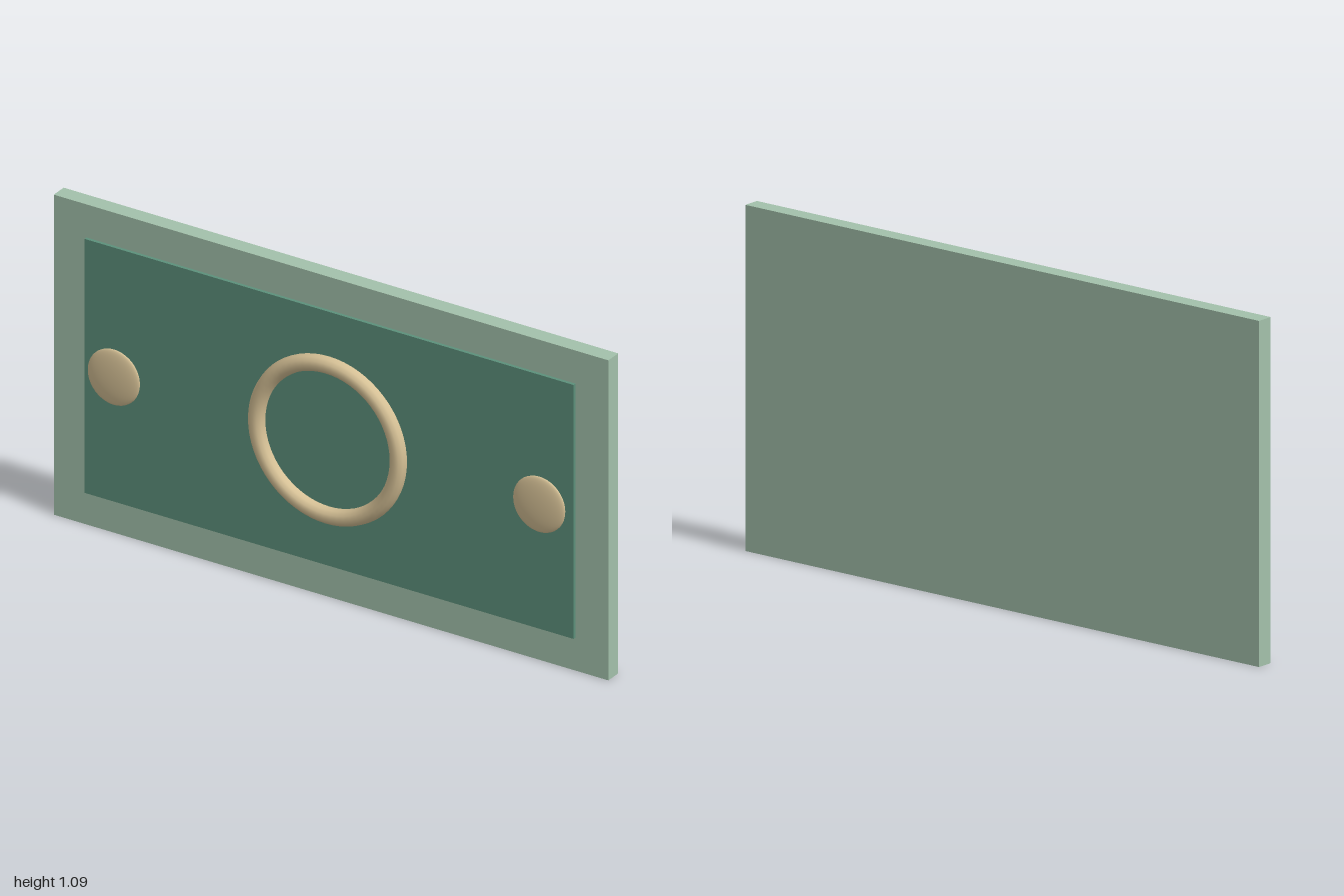
import * as THREE from 'three';

export function createModel() {
  const group = new THREE.Group();
  const paleGreen = new THREE.MeshStandardMaterial({ name: 'pale green', color: 0xa3c1ab });
  const deepGreen = new THREE.MeshStandardMaterial({ name: 'deep green', color: 0x5c907b });
  const tan = new THREE.MeshStandardMaterial({ name: 'tan', color: 0xd6c196 });
  const midY = 0.545;

  const add = (name, geometry, material, x, z) => {
    const mesh = new THREE.Mesh(geometry, material);
    mesh.name = name;
    mesh.position.set(x, midY, z);
    group.add(mesh);
    return mesh;
  };

  // Backing board and the raised inner panel
  add('board', new THREE.BoxGeometry(2, 1.09, 0.055), paleGreen, 0, -0.0225);
  add('panel', new THREE.BoxGeometry(1.764, 0.865, 0.014), deepGreen, 0, 0.009);

  // Central ring, partly sunk into the panel
  add('ring', new THREE.TorusGeometry(0.2555, 0.0275, 12, 64), tan, 0, 0.0225);

  // Flattened studs on either side
  const studGeometry = new THREE.SphereGeometry(0.094, 32, 20);
  studGeometry.scale(1, 1, 0.16);
  for (const side of [-1, 1]) {
    add(side > 0 ? 'leftStud' : 'rightStud', studGeometry, tan, side * 0.767, 0.03);
  }

  return group;
}
